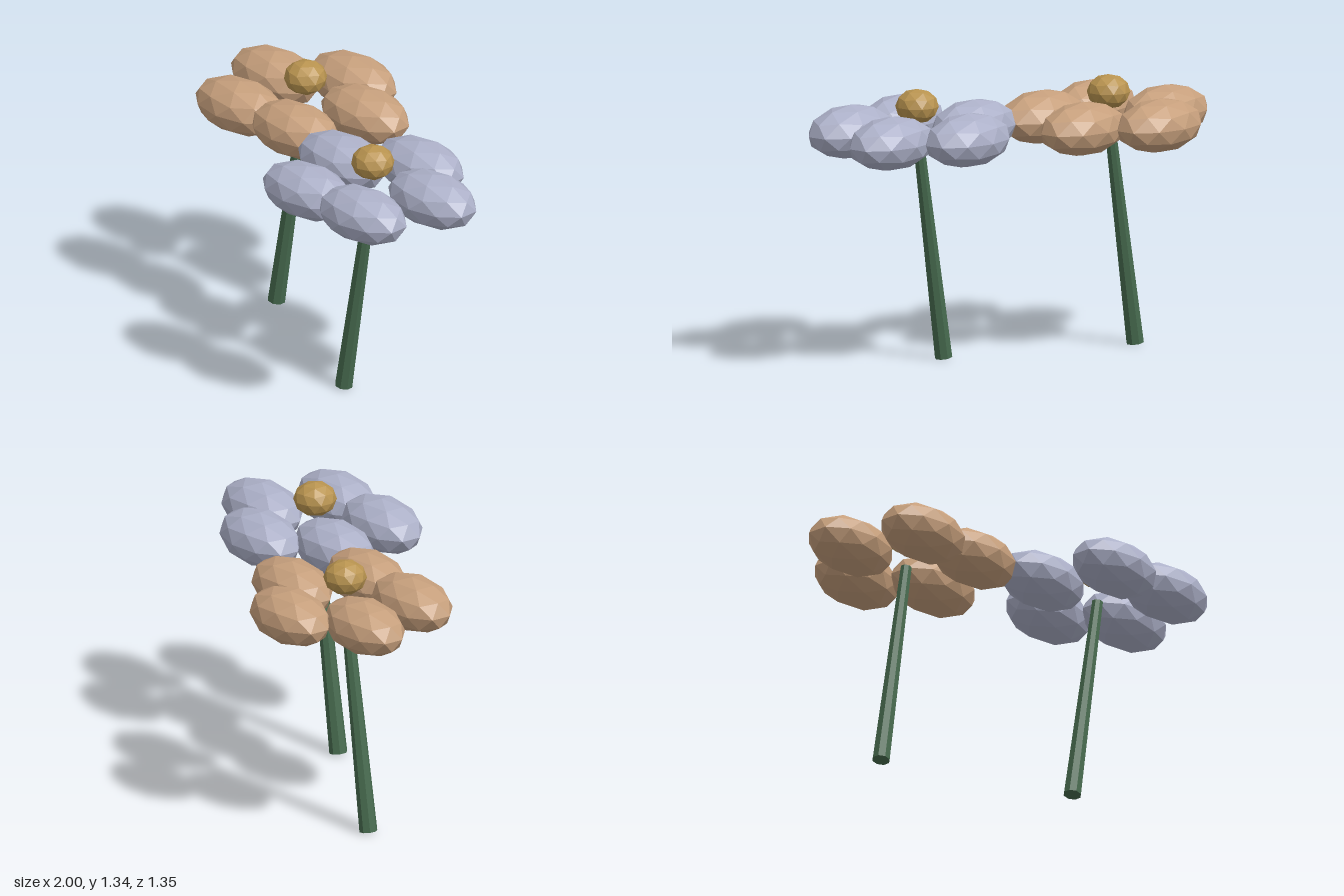
import * as THREE from 'three';

const mat = (name, color) => {
  const m = new THREE.MeshStandardMaterial({ color });
  m.name = name;
  return m;
};

// Faceted ball with a corner at its top and one upper ring corner toward +x
function facetedBall(sx, sy, sz) {
  const g = new THREE.IcosahedronGeometry(1, 1);
  g.rotateX(-Math.atan2((1 + Math.sqrt(5)) / 2, 1));
  g.rotateY(Math.PI / 2);
  g.scale(sx, sy, sz);
  g.computeVertexNormals(); // unshared corners give flat facets
  return g;
}

// Tapered eight-sided stem
function stemGeometry(length) {
  const g = new THREE.CylinderGeometry(0.028, 0.044, length, 8).toNonIndexed();
  g.rotateY(Math.PI / 8);
  g.computeVertexNormals();
  return g;
}

export function createModel() {
  const model = new THREE.Group();
  model.name = 'flowers';
  const green = mat('stem green', 0x476b4f);
  const gold = mat('centre gold', 0xb8934f);
  const tan = mat('petal tan', 0xc69f7c);
  const lavender = mat('petal lavender', 0xacb0c8);

  const stemLength = 1.1, tilt = 0.17;
  const petalGeo = facetedBall(0.26, 0.13, 0.163);
  const centreGeo = facetedBall(0.105, 0.084, 0.105);
  const stemGeo = stemGeometry(stemLength);

  function flower(name, x, z, petalMat) {
    const group = new THREE.Group();
    group.name = name;
    group.position.set(x, 0, z);
    const add = (part, geo, material, px, py, pz) => {
      const m = new THREE.Mesh(geo, material);
      m.name = part;
      m.position.set(px, py, pz);
      group.add(m);
      return m;
    };

    // Leaning stem, its foot on the ground
    const stem = add('stem', stemGeo, green,
      -0.196 + Math.sin(tilt) * stemLength / 2,
      0.0075 + Math.cos(tilt) * stemLength / 2, 0);
    stem.rotation.z = -tilt;

    // Five petals in a ring, the first at the back
    for (let i = 0; i < 5; i++) {
      const a = i * Math.PI * 2 / 5;
      add('petal', petalGeo, petalMat, Math.sin(a) * 0.32, 1.13, -Math.cos(a) * 0.32);
    }

    add('flowerCentre', centreGeo, gold, 0, 1.258, 0);
    model.add(group);
  }

  flower('tanFlower', -0.447, -0.193, tan);
  flower('lavenderFlower', 0.447, 0.25, lavender);
  return model;
}
